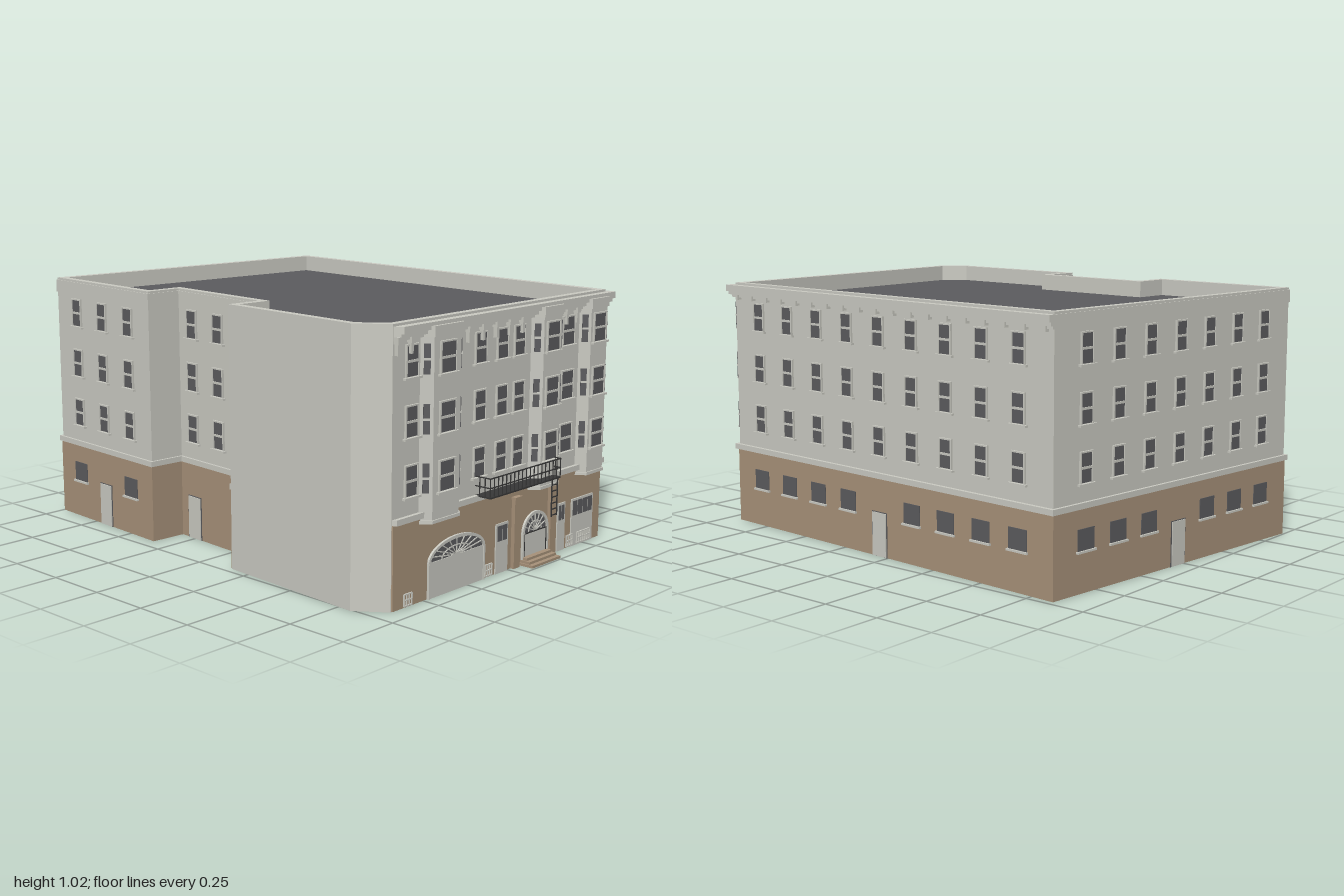
import * as THREE from 'three';

const mat = (name, color, side = THREE.FrontSide) => {
  const m = new THREE.MeshStandardMaterial({ color, side });
  m.name = name;
  return m;
};

export function createModel() {
  const stone = mat('pale stone', 0xcbcbc3);
  const brick = mat('tan brick', 0xa8927a);
  const dark = mat('glass and roofing', 0x5c5c5f);
  const iron = mat('iron', 0x383838);
  const model = new THREE.Group();
  model.name = 'building';

  // Footprint as x, z corners: front, right, back, left rear, notch (3), left front, chamfer
  const plan = [[-.675, .925], [.615, .925], [.725, -.85], [-.65, -.99], [-.69, -.345],
    [-.54, -.335], [-.575, .165], [-.72, .155], [-.76, .81]];
  const N = plan.length;

  // Moves each edge of the footprint outward by its own distance
  const offset = (dist) => {
    const d = Array.isArray(dist) ? dist : Array(N).fill(dist);
    const edges = plan.map((p, i) => {
      const q = plan[(i + 1) % N], l = Math.hypot(q[0] - p[0], q[1] - p[1]);
      const n = [-(q[1] - p[1]) / l, (q[0] - p[0]) / l];
      return { n, c: n[0] * p[0] + n[1] * p[1] + d[i] };
    });
    return edges.map((e, i) => {
      const f = edges[(i + N - 1) % N], det = f.n[0] * e.n[1] - f.n[1] * e.n[0];
      return [(f.c * e.n[1] - e.c * f.n[1]) / det, (f.n[0] * e.c - e.n[0] * f.c) / det];
    });
  };
  const toVectors = (pts) => pts.map(([x, z]) => new THREE.Vector2(x, -z));
  const add = (parent, name, geo, material) => {
    const m = new THREE.Mesh(geo, material);
    m.name = name;
    parent.add(m);
    return m;
  };
  // Upright prism between two heights, optionally hollow
  const prism = (name, material, outer, inner, y0, y1) => {
    const s = new THREE.Shape(toVectors(outer));
    if (inner) s.holes.push(new THREE.Path(toVectors(inner)));
    const g = new THREE.ExtrudeGeometry(s, { depth: y1 - y0, bevelEnabled: false });
    g.rotateX(-Math.PI / 2).translate(0, y0, 0);
    return add(model, name, g, material);
  };
  const box = (parent, name, material, x, y, z, w, h, d) => {
    const m = add(parent, name, new THREE.BoxGeometry(w, h, d), material);
    m.position.set(x, y, z);
    return m;
  };
  // Group lying on a wall: x along it, z outward
  const frame = (name, a, b) => {
    const g = new THREE.Group();
    g.name = name;
    g.position.set(a[0], 0, a[1]);
    g.rotation.y = Math.atan2(a[1] - b[1], b[0] - a[0]);
    g.userData.length = Math.hypot(b[0] - a[0], b[1] - a[1]);
    model.add(g);
    return g;
  };

  // Shell, brick base, belt course, parapet, roof
  prism('walls', stone, plan, offset(-.012), 0, .96);
  prism('brickBase', brick, offset([.004, .004, .004, .004, .004, .004, .004, -.002, -.002]), offset(-.006), .001, .316);
  prism('beltCourse', stone, offset([.015, .015, .012, .01, .01, .01, .01, -.002, -.002]), offset(-.006), .314, .336);
  prism('parapet', stone, plan, offset(-.03), .955, 1.025);
  prism('roof', dark, offset(-.011), null, .945, .958);
  [[.965, .976, .012], [.976, .99, .022], [.99, 1.016, .03]].forEach(([y0, y1, d]) =>
    prism('cornice', stone, offset([d, d, .004, .004, .004, .004, .004, -.002, -.002]), offset(-.01), y0, y1));

  // Sash window with frame, meeting rail and sill
  const sash = (wall, x, y, w = .056, h = .108) => {
    box(wall, 'windowGlass', dark, x, y, .002, w, h, .004);
    box(wall, 'meetingRail', stone, x, y, .005, w, .009, .004);
    for (const s of [-1, 1]) box(wall, 'windowJamb', stone, x + s * (w / 2 + .003), y, .004, .006, h + .006, .008);
    box(wall, 'windowHead', stone, x, y + h / 2 + .003, .004, w + .012, .006, .008);
    box(wall, 'windowSill', stone, x, y - h / 2 - .006, .007, w + .03, .008, .014);
  };
  const floors = [.46, .673, .887];
  const column = (wall, x, w) => floors.forEach((y) => sash(wall, x, y, w));
  const baseWindow = (wall, x) => {
    box(wall, 'baseWindowGlass', dark, x, .2, .005, .088, .08, .004);
    box(wall, 'baseWindowSill', stone, x, .156, .008, .1, .008, .012);
  };
  const door = (wall, x, w = .076, h = .175) => {
    box(wall, 'doorReveal', dark, x, h / 2 + .003, .004, w + .01, h + .005, .003);
    box(wall, 'door', stone, x, h / 2 + .002, .006, w, h, .006);
  };

  const walls = ['frontWall', 'rightWall', 'backWall', 'leftRearWall', 'notchFrontFacing', 'notchInnerWall', 'notchBackFacing']
    .map((n, i) => frame(n, plan[i], plan[i + 1]));
  const [front, right, back, leftRear, , inner, notchBack] = walls;

  // Side and rear windows and doors
  for (let i = 0; i < 9; i++) {
    const u = .155 + i * .1825;
    column(right, u);
    if (i === 4) door(right, u); else baseWindow(right, u);
  }
  for (let i = 0; i < 7; i++) {
    const u = back.userData.length * (.12 + .1267 * i);
    column(back, u);
    if (i === 3) door(back, u); else baseWindow(back, u);
  }
  [.22, .5, .78].forEach((f, i) => {
    column(leftRear, leftRear.userData.length * f);
    if (i === 1) door(leftRear, leftRear.userData.length * f);
    else baseWindow(leftRear, leftRear.userData.length * f);
    column(inner, inner.userData.length * (.17 + .33 * i));
  });
  door(inner, .09);
  door(notchBack, .07);
  for (let i = 0; i < 19; i++) box(right, 'corniceBlock', stone, .03 + i * .0955, .966, .01, .012, .022, .02);

  // Front wall works in world x
  const facade = new THREE.Group();
  facade.name = 'facade';
  facade.position.x = .675;
  front.add(facade);
  [-.575, -.19, -.06, .045].forEach((x) => column(facade, x, .06));
  column(facade, .362, .075);
  [-.66, -.59, -.27, -.19, -.11, -.03, .05, .335, .405].forEach((x) => {
    box(facade, 'bracket', stone, x, .967, .011, .022, .025, .022);
    box(facade, 'bracketDrop', stone, x, .94, .008, .012, .05, .016);
  });

  // Three canted bays
  const z0 = .925, depth = .035;
  [[-.53, -.495, -.345, -.31, .08], [.12, .155, .27, .31, .076], [.438, .47, .582, .613, .076]].forEach(([a, b, c, d, w]) => {
    const pts = (e) => [[a - e, z0 - .005], [a - e, z0], [b - e / 2, z0 + depth + e], [c + e / 2, z0 + depth + e], [d + e, z0], [d + e, z0 - .005]];
    prism('bay', stone, pts(0), null, .297, .985);
    prism('bayFoot', stone, pts(.005), null, .293, .305);
    prism('bayCap', stone, pts(.006), null, .965, 1.003);
    const p = pts(0);
    column(frame('bayFront', p[2], p[3]), (c - b) / 2, w);
    for (const [i, s] of [[1, 'bayLeftFacet'], [3, 'bayRightFacet']]) {
      const f = frame(s, p[i], p[i + 1]);
      floors.forEach((y) => {
        box(f, 'facetGlass', dark, f.userData.length / 2, y, .002, .024, .108, .004);
        box(f, 'facetRail', stone, f.userData.length / 2, y, .004, .024, .008, .004);
      });
    }
  });

  // Arched openings: panel below, fanlight with radiating bars above
  const archRing = (rx, ry, t) => {
    const s = new THREE.Shape();
    s.moveTo(rx, 0);
    s.absellipse(0, 0, rx, ry, 0, Math.PI, false);
    s.lineTo(-rx + t, 0);
    s.absellipse(0, 0, rx - t, ry - t, Math.PI, 0, true);
    return s;
  };
  const arch = (name, x, spring, rx, ry, bars) => {
    const g = new THREE.Group();
    g.name = name;
    g.position.set(x, spring, .004);
    facade.add(g);
    const fan = new THREE.Shape();
    fan.moveTo(rx, 0);
    fan.absellipse(0, 0, rx, ry, 0, Math.PI, false);
    const ex = (s, d) => new THREE.ExtrudeGeometry(s, { depth: d, bevelEnabled: false, curveSegments: 16 });
    add(g, 'fanlightGlass', ex(fan, .003), dark);
    add(g, 'archTrim', ex(archRing(rx + .004, ry + .004, .012), .009), stone);
    add(g, 'fanlightRing', ex(archRing(rx * .55, ry * .55, .004), .006), stone);
    for (let i = 1; i < bars; i++) {
      const t = Math.PI * i / bars, px = rx * Math.cos(t), py = ry * Math.sin(t);
      box(g, 'fanlightBar', stone, px / 2, py / 2, .004, Math.hypot(px, py), .004, .004).rotation.z = Math.atan2(py, px);
    }
    box(g, 'doorPanel', stone, 0, -spring / 2 + .001, .003, rx * 2, spring, .006);
    for (const s of [-1, 1]) box(g, 'archJamb', stone, s * rx, -spring / 2 + .001, .005, .008, spring, .01);
  };
  arch('archedGarage', -.318, .135, .16, .072, 10);
  arch('mainEntrance', .168, .122, .08, .076, 8);
  for (const s of [-1, 1]) box(facade, 'entranceReveal', iron, .168 + s * .071, .07, .011, .004, .1, .003);
  box(facade, 'entranceLintel', iron, .168, .122, .011, .146, .004, .003);

  // Entrance piers and steps
  for (const x of [.038, .274]) {
    box(facade, 'pier', brick, x, .142, .01, .038, .282, .02);
    box(facade, 'pierCap', brick, x, .28, .012, .044, .01, .026);
  }
  [.068, .05, .032].forEach((d, i) => box(facade, 'step', brick, .168, .0055 + i * .01, d / 2, .186 - i * .012, .01, d));

  // Narrow glazed doors and the right-hand garage
  const glazed = (name, x, w, panes) => {
    box(facade, name, stone, x, .099, .006, w, .196, .006);
    const pw = (w - .012) / panes;
    for (let i = 0; i < panes; i++)
      box(facade, name + 'Pane', dark, x - w / 2 + .006 + pw * (i + .5), .158, .0095, pw - .005, .06, .003);
  };
  glazed('frontDoor', -.045, .075, 2);
  glazed('serviceDoor', .344, .052, 2);
  glazed('smallGarage', .49, .15, 4);

  // Barred street vents
  [[-.6, .042], [-.135, .042], [.395, .042], [.493, .09]].forEach(([x, w]) => {
    for (const y of [.012, .033, .055]) box(facade, 'ventRail', stone, x, y, .016, w, .004, .006);
    const n = Math.round(w / .014);
    for (let i = 0; i <= n; i++) box(facade, 'ventBar', stone, x - w / 2 + w * i / n, .033, .016, .003, .046, .006);
  });

  // Fire escape balcony and ladder
  const x0 = -.204, x1 = .24, zo = .069;
  box(facade, 'balconyDeck', iron, (x0 + x1) / 2, .334, zo / 2 + .002, x1 - x0, .006, zo);
  for (const y of [.372, .408]) {
    box(facade, 'balconyRail', iron, (x0 + x1) / 2, y, zo, x1 - x0, .004, .004);
    for (const x of [x0, x1]) box(facade, 'balconySideRail', iron, x, y, zo / 2, .004, .004, zo);
  }
  for (let i = 0; i <= 18; i++) box(facade, 'baluster', iron, x0 + (x1 - x0) * i / 18, .371, zo, .003, .076, .003);
  for (const x of [x0, x1]) for (const z of [.02, .045]) box(facade, 'sideBaluster', iron, x, .371, z, .003, .076, .003);
  for (const x of [.187, .223]) box(facade, 'ladderRail', iron, x, .262, zo, .004, .155, .004);
  for (let i = 0; i < 6; i++) box(facade, 'ladderRung', iron, .205, .19 + i * .024, zo, .036, .004, .004);

  return model;
}
